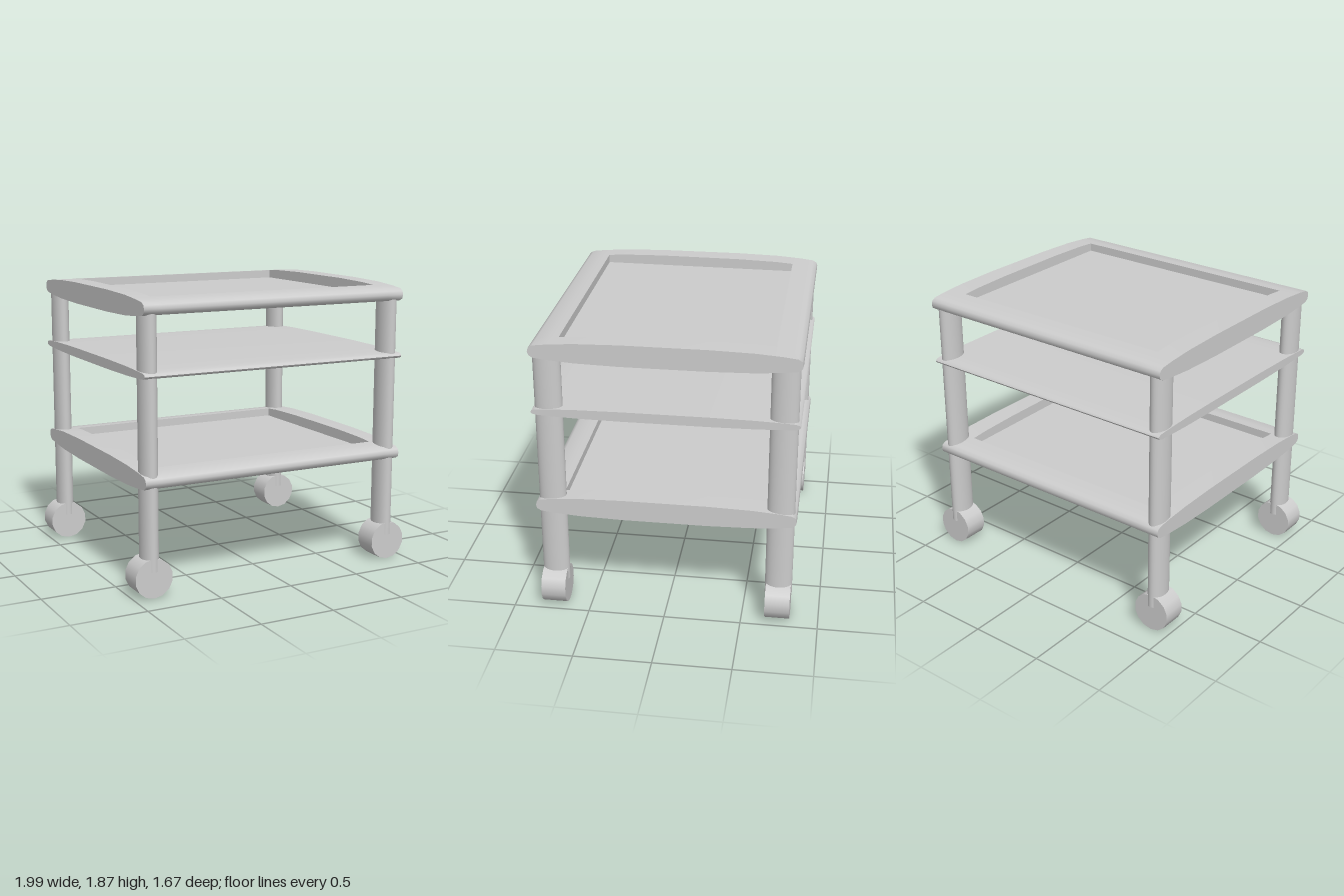
import * as THREE from 'three';
import { toCreasedNormals } from 'three/addons/utils/BufferGeometryUtils.js';

const material = new THREE.MeshStandardMaterial({ color: 0xcccccc });
const HALF_WIDTH = 0.93;

// Quarter of the lens-shaped shelf section: z and height as a fraction of the half thickness
const QUARTER = [[0.837, 0], [0.83, 0.35], [0.805, 0.57], [0.72, 0.72], [0.665, 0.78], [0.665, 0.78], [0.55, 0.9], [0.27, 1]];

// Closed section from the front nose over the top to the back and under; optionally sunk to a tray floor
function section(half, floor) {
  const quarter = QUARTER.map(([z, f]) => [z, f * half]);
  const top = quarter.map(([z, y], i) => [z, floor !== undefined && i > 4 ? floor : y]);
  const back = top.slice().reverse().map(([z, y]) => [-z, y]);
  const underBack = quarter.slice(1).map(([z, y]) => [-z, -y]);
  const underFront = quarter.slice(1).reverse().map(([z, y]) => [z, -y]);
  return [...top, ...back, ...underBack, ...underFront];
}

// Loft of sections along x, with end caps
function shelfGeometry(half, tray) {
  const full = section(half);
  const outer = s => full.map(([z, y]) => new THREE.Vector3(s * HALF_WIDTH, y, z));
  // tray side walls splay slightly towards the front
  const inner = (s, pts) => pts.map(([z, y]) => new THREE.Vector3(s * (0.797 + 0.018 * z), y, z));
  const rings = [outer(-1)];
  if (tray) {
    const sunk = section(half, 0);
    rings.push(inner(-1, full), inner(-1, sunk), inner(1, sunk), inner(1, full));
  }
  rings.push(outer(1));

  const pos = [];
  const tri = (a, b, c) => {
    const area = b.clone().sub(a).cross(c.clone().sub(a)).length();
    if (area > 1e-9) for (const p of [a, b, c]) pos.push(p.x, p.y, p.z);
  };
  const n = full.length;
  for (let i = 0; i < rings.length - 1; i++) {
    const p = rings[i], q = rings[i + 1];
    for (let j = 0; j < n; j++) {
      const k = (j + 1) % n;
      tri(p[j], q[j], p[k]);
      tri(p[k], q[j], q[k]);
    }
  }
  const first = rings[0], last = rings[rings.length - 1];
  for (let j = 1; j < n - 1; j++) {
    tri(first[0], first[j], first[j + 1]);
    tri(last[0], last[j + 1], last[j]);
  }
  const geometry = new THREE.BufferGeometry();
  geometry.setAttribute('position', new THREE.Float32BufferAttribute(pos, 3));
  return toCreasedNormals(geometry, 0.9);
}

export function createModel() {
  const group = new THREE.Group();
  const add = (name, geometry, x, y, z) => {
    const mesh = new THREE.Mesh(geometry, material);
    mesh.name = name;
    mesh.position.set(x, y, z);
    group.add(mesh);
  };

  // Shelves: trays at the top and bottom, a thin flat one between
  const trayGeometry = shelfGeometry(0.07, true);
  add('topTray', trayGeometry, 0, 1.802, 0);
  add('middleShelf', shelfGeometry(0.032, false), 0, 1.398, 0);
  add('bottomTray', trayGeometry, 0, 0.738, 0);

  // Oval legs and castor wheels at the corners
  const legGeometry = new THREE.CylinderGeometry(1, 1, 1.63, 32).scale(0.055, 1, 0.088);
  const wheelGeometry = new THREE.CylinderGeometry(0.128, 0.128, 0.161, 14).rotateX(Math.PI / 2);
  for (const [sx, side] of [[1, 'Left'], [-1, 'Right']]) {
    for (const [sz, end] of [[1, 'front'], [-1, 'back']]) {
      add(`${end}${side}Leg`, legGeometry, sx * 0.87, 0.985, sz * 0.734);
      add(`${end}${side}Wheel`, wheelGeometry, sx * 0.872, 0.128, sz * 0.735);
    }
  }
  return group;
}
